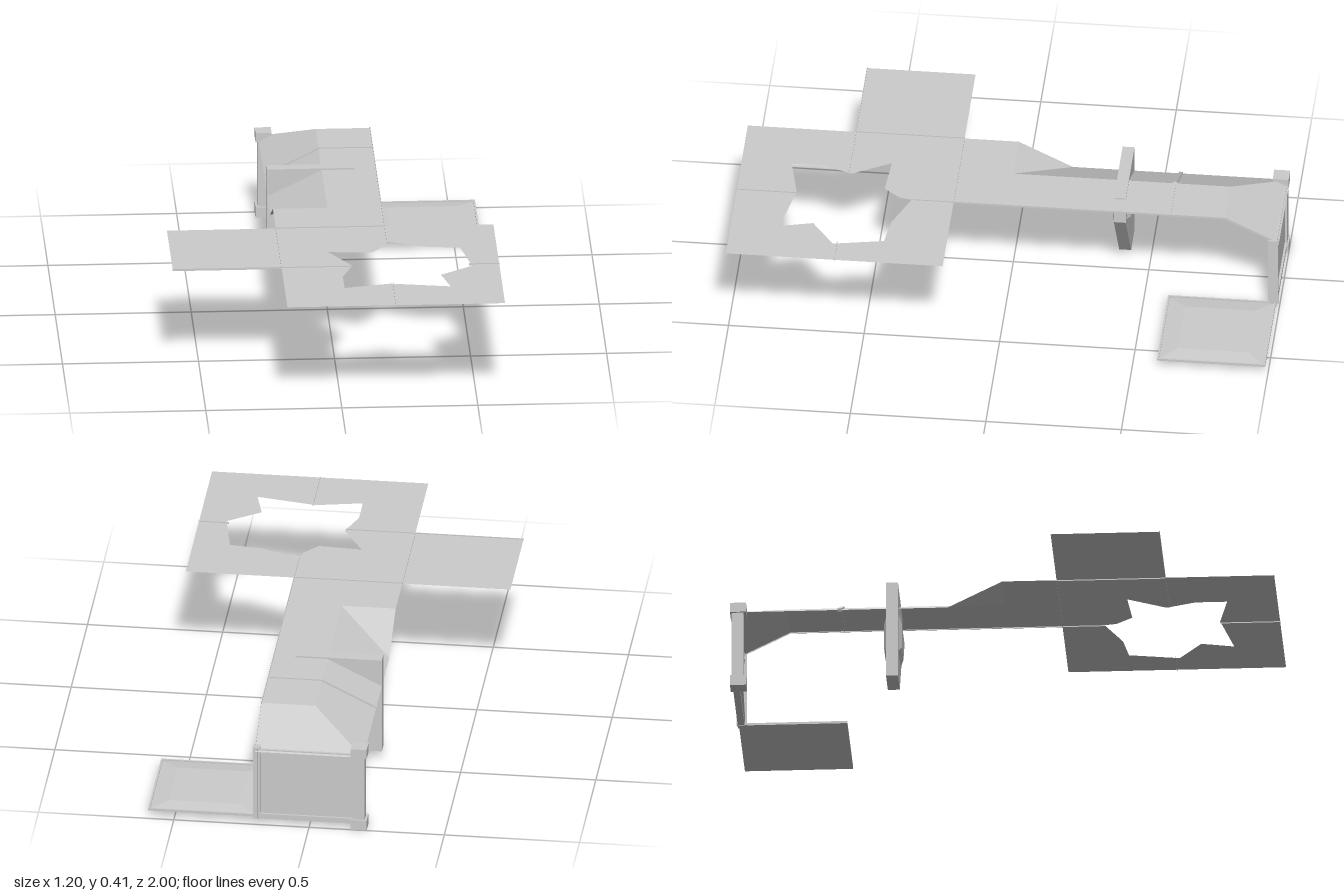
import * as THREE from 'three';

const solid = new THREE.MeshStandardMaterial({ color: 0xcccccc, flatShading: true });
const sheetMat = new THREE.MeshStandardMaterial({ color: 0xcccccc, flatShading: true, side: THREE.DoubleSide });

function add(parent, name, geometry, material = solid) {
  const mesh = new THREE.Mesh(geometry, material);
  mesh.name = name;
  parent.add(mesh);
  return mesh;
}

// Box given by its two opposite corners
function box(parent, name, [x0, y0, z0], [x1, y1, z1]) {
  const mesh = add(parent, name, new THREE.BoxGeometry(x1 - x0, y1 - y0, z1 - z0));
  mesh.position.set((x0 + x1) / 2, (y0 + y1) / 2, (z0 + z1) / 2);
  return mesh;
}

// Bar in the xy plane from a to b
function bar(parent, name, a, b, z, height, depth) {
  const dx = b[0] - a[0], dy = b[1] - a[1];
  const mesh = add(parent, name, new THREE.BoxGeometry(Math.hypot(dx, dy), height, depth));
  mesh.position.set((a[0] + b[0]) / 2, (a[1] + b[1]) / 2, z);
  mesh.rotation.z = Math.atan2(dy, dx);
}

// Flat convex polygon, corners counter-clockwise from its front
function sheet(parent, name, points) {
  const g = new THREE.BufferGeometry();
  g.setAttribute('position', new THREE.Float32BufferAttribute(points.flat(), 3));
  const index = [];
  for (let i = 1; i < points.length - 1; i++) index.push(0, i, i + 1);
  g.setIndex(index);
  g.computeVertexNormals();
  return add(parent, name, g, sheetMat);
}

// Raised panel: sloped border from an outer to an inner outline, plus its top
function raisedPanel(parent, name, outer, inner, toWorld, low, high) {
  const panel = new THREE.Group();
  panel.name = name;
  parent.add(panel);
  const n = outer.length;
  for (let i = 0; i < n; i++) {
    const j = (i + 1) % n;
    sheet(panel, 'bevel', [toWorld(outer[i], low), toWorld(outer[j], low),
      toWorld(inner[j], high), toWorld(inner[i], high)]);
  }
  sheet(panel, 'panelFace', inner.map(p => toWorld(p, high)));
}

const vectors = pts => pts.map(([x, y]) => new THREE.Vector2(x, y));
const FLOOR = 0.4, EAVE = 0.3;

function buildFloor(model) {
  // Flat floor with a ragged opening, outlined in x and z
  const outline = [[0, -0.8], [0.2, -0.8], [0.2, 0.2], [0.6, 0.2], [0.6, 1], [-0.2, 1],
    [-0.2, 0.6], [-0.6, 0.6], [-0.6, 0.2], [-0.2, 0.2], [-0.2, 0], [0, 0]];
  const opening = [[0.2, 0.355], [0.345, 0.415], [0.465, 0.43], [0.5, 0.615], [0.38, 0.7],
    [0.41, 0.82], [0.19, 0.78], [0.02, 0.815], [0.02, 0.7], [0.06, 0.59], [-0.02, 0.45],
    [0.14, 0.46], [0.19, 0.4]];
  const flip = pts => vectors(pts.map(([x, z]) => [x, -z]));
  const shape = new THREE.Shape(flip(outline));
  shape.holes.push(new THREE.Path(flip(opening)));
  const floor = add(model, 'floor', new THREE.ShapeGeometry(shape), sheetMat);
  floor.rotation.x = -Math.PI / 2;
  floor.position.y = FLOOR;

  // Sloped skirts along the walkway
  sheet(model, 'frontCornerSlope', [[-0.2, FLOOR, 0], [0, FLOOR, 0], [-0.2, EAVE, -0.2]]);
  sheet(model, 'sideSlope', [[0, FLOOR, 0], [0, FLOOR, -0.8], [-0.2, EAVE, -1], [-0.2, EAVE, -0.2]]);
  sheet(model, 'backSlope', [[0, FLOOR, -0.8], [0.2, FLOOR, -0.8], [0.2, EAVE, -1], [-0.2, EAVE, -1]]);

  // Thin strips at tile joints: x0, z0, x1, z1
  const joints = [[0.2, -0.8, 0.2, 0.355], [0.2, 0.78, 0.2, 1], [-0.2, 0.2, -0.2, 0.6],
    [-0.2, 0.2, 0.2, 0.2], [-0.6, 0.6, 0.055, 0.6], [0.49, 0.6, 0.6, 0.6], [0, -0.6, 0.2, -0.6]];
  const h = 0.004, t = 0.001;
  for (const [x0, z0, x1, z1] of joints)
    box(model, 'jointStrip', [x0 - t, FLOOR - h, z0 - t], [x1 + t, FLOOR + h, z1 + t]);
  bar(model, 'slopeRib', [-0.2, EAVE], [0, FLOOR], -0.598, 0.012, 0.014);
  sheet(model, 'slopeEdge', [[0.2, 0.405, -0.8], [0.2, 0.305, -1], [0.2, 0.295, -1], [0.2, 0.395, -0.8]]);
}

function buildBracket(model) {
  const bracket = new THREE.Group();
  bracket.name = 'supportBracket';
  bracket.position.z = -0.405;
  model.add(bracket);
  const profile = [[-0.2, 0.03], [-0.075, 0.03], [0.12, 0.295], [0.12, 0.406], [-0.2, 0.406]];
  const body = new THREE.ExtrudeGeometry(new THREE.Shape(vectors(profile)), { depth: 0.044, bevelEnabled: false });
  add(bracket, 'bracketBody', body.translate(0, 0, -0.022));
  // Raised panels on both faces
  const outer = [[-0.155, 0.15], [-0.005, 0.15], [0.1, 0.297], [-0.155, 0.297]];
  const inner = [[-0.13, 0.175], [-0.025, 0.175], [0.045, 0.27], [-0.13, 0.27]];
  for (const s of [1, -1]) {
    const order = p => (s > 0 ? p : [...p].reverse());
    raisedPanel(bracket, 'bracketPanel', order(outer), order(inner), ([x, y], d) => [x, y, s * d], 0.022, 0.033);
  }
}

function buildBackWall(model) {
  const wall = new THREE.Group();
  wall.name = 'backWall';
  model.add(wall);
  box(wall, 'wallPanel', [-0.19, 0.025, -0.985], [0.19, 0.3, -0.977]);
  for (const y of [0.022, 0.288])
    box(wall, 'wallRail', [-0.18, y, -0.993], [0.2, y + 0.02, -0.968]);
  // Crossed braces
  bar(wall, 'brace', [-0.19, 0.035], [0.19, 0.295], -0.973, 0.016, 0.014);
  bar(wall, 'brace', [-0.19, 0.295], [0.19, 0.035], -0.973, 0.016, 0.014);
  // Slim post
  box(wall, 'slimPost', [0.182, 0.02, -0.993], [0.208, 0.315, -0.967]);
  box(wall, 'slimPostRib', [0.19, 0.025, -0.997], [0.2, 0.31, -0.96]);
  // Heavy post with base and cap
  box(wall, 'heavyPost', [-0.205, 0.04, -0.994], [-0.162, 0.296, -0.951]);
  box(wall, 'postBase', [-0.213, 0, -1], [-0.154, 0.04, -0.941]);
  box(wall, 'postCap', [-0.213, 0.296, -1], [-0.154, 0.333, -0.941]);
}

function buildLowTile(model) {
  const tile = new THREE.Group();
  tile.name = 'lowTile';
  tile.position.set(0.397, 0, -0.79);
  model.add(tile);
  const square = r => [[-r, r], [r, r], [r, -r], [-r, -r]];
  box(tile, 'tileBase', [-0.195, 0.027, -0.195], [0.195, 0.031, 0.195]);
  // Rim on all four sides
  for (const s of [-0.196, 0.196]) {
    box(tile, 'tileRim', [s - 0.003, 0.027, -0.199], [s + 0.003, 0.036, 0.199]);
    box(tile, 'tileRim', [-0.199, 0.027, s - 0.003], [0.199, 0.036, s + 0.003]);
  }
  raisedPanel(tile, 'tilePanel', square(0.193), square(0.13), ([x, z], y) => [x, y, z], 0.031, 0.039);
}

export function createModel() {
  const model = new THREE.Group();
  model.name = 'walkwaySet';
  buildFloor(model);
  buildBracket(model);
  buildBackWall(model);
  buildLowTile(model);
  return model;
}
